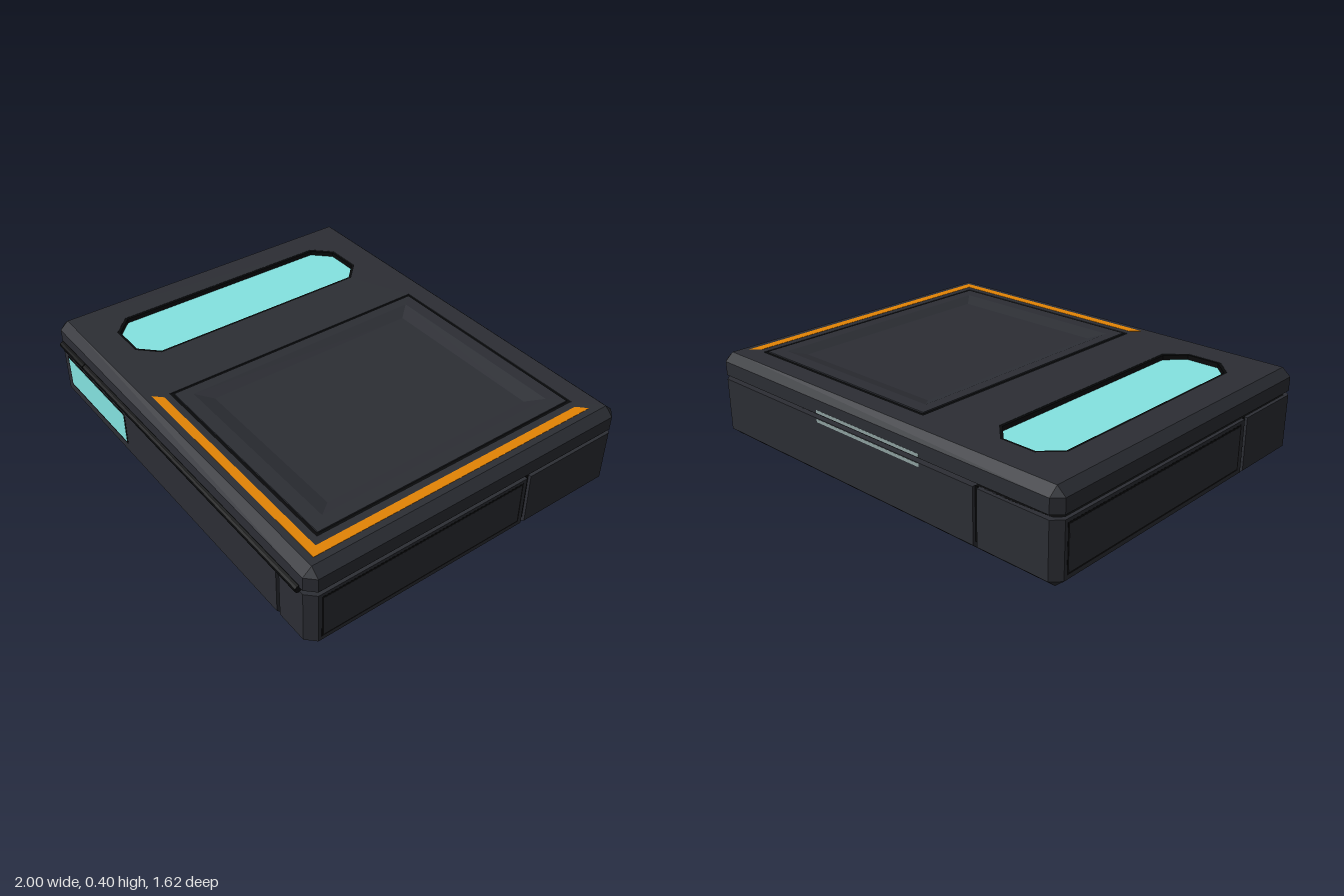
import * as THREE from 'three';
import { ConvexGeometry } from 'three/addons/geometries/ConvexGeometry.js';

const XM = 1, ZB = -0.81, ZF = 0.79, CH = 0.04;
const clamp = THREE.MathUtils.clamp;

const mat = (color) => new THREE.MeshStandardMaterial({ color, flatShading: true });

export function createModel() {
  const group = new THREE.Group();
  const shell = mat(0x2c2e34), black = mat(0x08090a), cyan = mat(0x84e4e2);
  const orange = mat(0xe48404), metal = mat(0x8fa3a1);

  const add = (name, geometry, material) => {
    const mesh = new THREE.Mesh(geometry, material);
    mesh.name = name;
    group.add(mesh);
    return mesh;
  };

  // Box given by its limits
  const box = (name, material, x0, x1, y0, y1, z0, z1) =>
    add(name, new THREE.BoxGeometry(x1 - x0, y1 - y0, z1 - z0), material)
      .position.set((x0 + x1) / 2, (y0 + y1) / 2, (z0 + z1) / 2);

  // Outlines as [x, z] corners: rectangle with cut corners
  const outline = (x0, x1, z0, z1, c = 0) => c
    ? [[x0 + c, z0], [x1 - c, z0], [x1, z0 + c], [x1, z1 - c],
       [x1 - c, z1], [x0 + c, z1], [x0, z1 - c], [x0, z0 + c]]
    : [[x0, z0], [x1, z0], [x1, z1], [x0, z1]];

  // Upright slab from an outline with holes (wound the other way, so their walls face inward);
  // an optional rule moves its vertices
  const slab = (name, material, pts, y0, y1, holes = [], rule = null, steps = 1) => {
    const vec = (list) => list.map(([x, z]) => new THREE.Vector2(x, -z));
    const shape = new THREE.Shape(vec(pts));
    holes.forEach((h) => shape.holes.push(new THREE.Path(vec(h).reverse())));
    const geo = new THREE.ExtrudeGeometry(shape, { depth: y1 - y0, bevelEnabled: false, steps });
    geo.rotateX(-Math.PI / 2).translate(0, y0, 0);
    if (rule) {
      const p = geo.attributes.position, v = new THREE.Vector3();
      for (let i = 0; i < p.count; i++) {
        rule(v.fromBufferAttribute(p, i));
        p.setXYZ(i, v.x, v.y, v.z);
      }
      geo.computeVertexNormals();
    }
    return add(name, geo, material);
  };

  // Body block: a rectangle of the plan, chamfered wherever it meets the outside
  const block = (name, material, x0, x1, z0, z1, y0 = 0, shrink = 0) => {
    const pts = [], a = XM - shrink, b = ZB + shrink, f = ZF - shrink;
    for (const [x, z] of outline(x0, x1, z0, z1)) {
      const cx = clamp(x, -a, a), cz = clamp(z, b, f);
      const outside = Math.abs(cx) === a && (cz === b || cz === f);
      pts.push(new THREE.Vector3(clamp(x, CH - a, a - CH), y0, clamp(z, b + CH, f - CH)));
      for (const y of [y0 + 0.035, 0.28]) {
        if (outside) {
          pts.push(new THREE.Vector3(cx - Math.sign(cx) * CH, y, cz));
          pts.push(new THREE.Vector3(cx, y, cz - Math.sign(cz) * CH));
        } else pts.push(new THREE.Vector3(cx, y, cz));
      }
    }
    add(name, new ConvexGeometry(pts), material);
  };

  // Dark core seen through the seams, and the gap under the lid
  block('core', black, -2, 2, -2, 2, 0.012, 0.014);
  slab('lidGap', black, outline(-0.97, 0.97, ZB + 0.03, ZF - 0.03, CH), 0.27, 0.305);

  // Body blocks laid out as a pinwheel around the base plate
  const g = 0.01, sx = -0.605, fx = 0.8, mx = 0.26, bz = -0.3, fz = 0.4;
  block('rightBlock', shell, -2, sx - g, -2, fz - g);
  block('backBlock', shell, sx + g, 2, -2, bz - g);
  block('frontBlock', shell, -2, fx - g, fz + g, 2);
  block('leftBlock', shell, fx + g, 2, bz + g, 2);
  block('leftInnerBlock', shell, mx + g, fx + g, bz + g, fz - g);
  block('basePlate', shell, sx + g, mx - g, bz + g, fz - g);
  box('baseSeam', black, 0.754, 0.766, -0.0005, 0.01, -0.765, bz);

  // Lid with a chamfered top edge and openings for the slot and the pad
  const slotHole = outline(-0.82, -0.48, -0.63, 0.61, 0.085);
  const slotFloor = outline(-0.808, -0.492, -0.618, 0.598, 0.08);
  const padHole = outline(-0.195, 0.855, -0.675, 0.65);
  const padEdge = outline(-0.18, 0.84, -0.66, 0.635);
  slab('lid', shell, outline(-XM, XM, ZB, ZF, CH), 0.3, 0.4, [slotHole, padHole], (v) => {
    if (v.y > 0.39) {
      v.x = clamp(v.x, CH - XM, XM - CH);
      v.z = clamp(v.z, ZB + CH, ZF - CH);
    } else if (v.y > 0.34) v.y = 0.365;
  }, 2);

  // Recessed slot window
  slab('slotRim', black, slotHole, 0.34, 0.399, [slotFloor]);
  slab('slotWindow', cyan, slotHole, 0.34, 0.378);

  // Pad with a shallow dished middle
  const dish = outline(-0.13, 0.78, -0.6, 0.57);
  slab('padRim', black, padHole, 0.34, 0.397, [padEdge]);
  slab('pad', shell, padEdge, 0.383, 0.403, [dish], (v) => {
    const inHole = v.x > -0.15 && v.x < 0.8 && v.z > -0.62 && v.z < 0.59;
    if (inHole && v.y < 0.39) {
      v.x = clamp(v.x, -0.07, 0.72);
      v.z = clamp(v.z, -0.53, 0.5);
    }
  });
  slab('padFloor', shell, padEdge, 0.34, 0.3835);

  // Orange corner trim
  slab('cornerTrim', orange, [[-0.225, 0.72], [0.93, 0.72], [0.93, -0.7], [0.888, -0.66],
    [0.888, 0.68], [-0.185, 0.68]], 0.39, 0.4012);

  // Front window
  box('frontWindowFrame', black, -0.925, -0.37, 0.073, 0.242, ZF - 0.01, ZF + 0.0008);
  box('frontWindow', cyan, -0.915, -0.38, 0.083, 0.232, ZF - 0.01, ZF + 0.0016);

  // Side panels with dark outlines
  for (const [s, z0, z1] of [[1, -0.272, 0.735], [-1, -0.755, 0.367]]) {
    const side = (name, m, i, out) => {
      const a = s * (XM - 0.01), b = s * (XM + out);
      box(name, m, Math.min(a, b), Math.max(a, b), 0.053 + i, 0.265 - i, z0 + i, z1 - i);
    };
    side('sidePanelOutline', black, 0, 0.0006);
    side('sidePanel', shell, 0.009, 0.0012);
  }

  // Round seal along the front gap
  for (const [x0, x1] of [[-0.95, -0.722], [-0.718, 0.94]]) {
    const seal = add('frontSeal', new THREE.CylinderGeometry(0.017, 0.017, x1 - x0, 12), black);
    seal.rotation.z = Math.PI / 2;
    seal.position.set((x0 + x1) / 2, 0.293, ZF + 0.003);
  }

  // Hinge bars on the back
  box('hingeBarUpper', metal, -0.31, 0.31, 0.304, 0.318, ZB - 0.0008, ZB + 0.03);
  box('hingeBarLower', metal, -0.31, 0.31, 0.262, 0.277, ZB - 0.0008, ZB + 0.03);

  return group;
}
